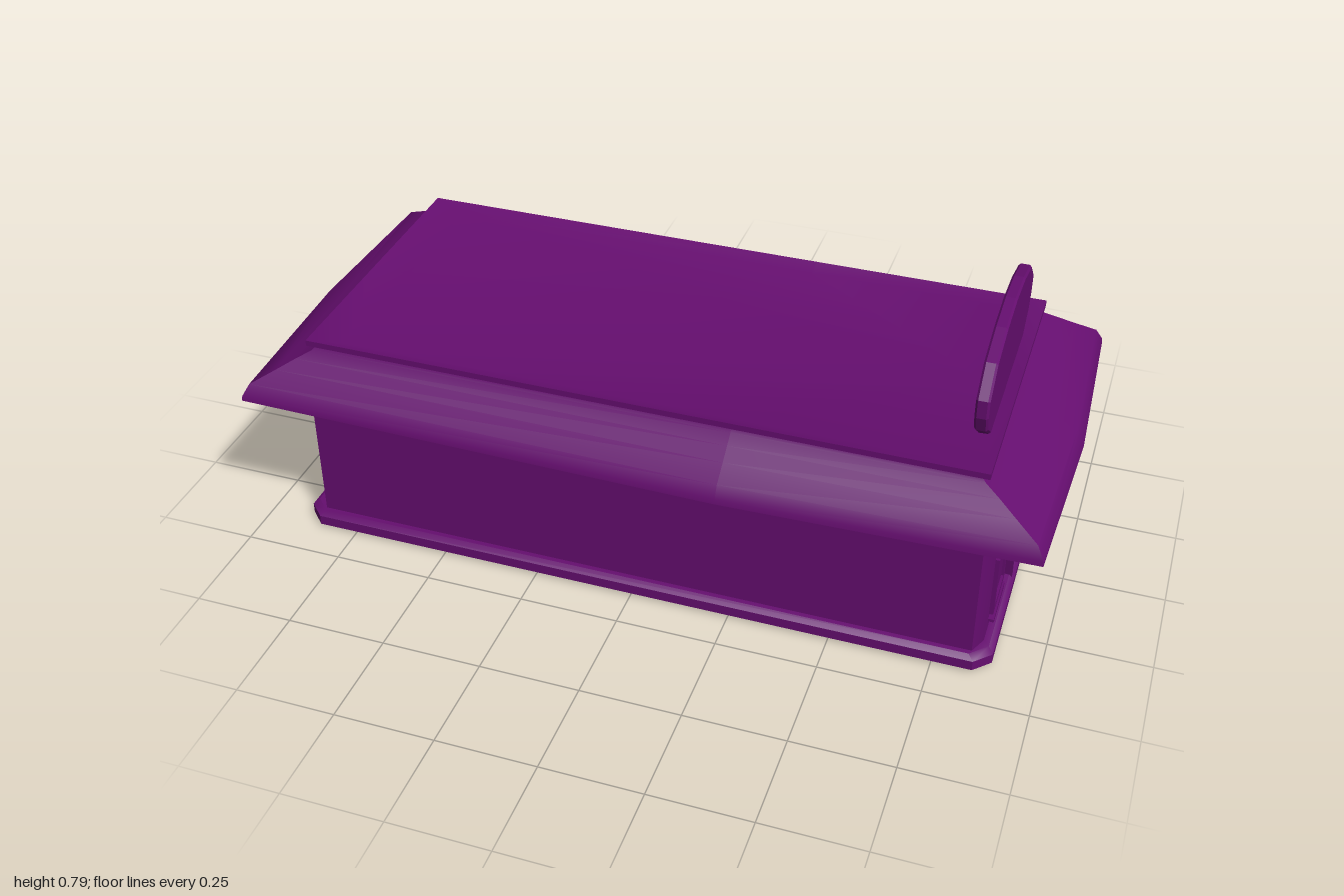
import * as THREE from 'three';
import { toCreasedNormals } from 'three/addons/utils/BufferGeometryUtils.js';

const mat = new THREE.MeshStandardMaterial({ color: 0x660e70, side: THREE.DoubleSide });

function add(parent, name, geo, x = 0, y = 0, z = 0) {
  const m = new THREE.Mesh(geo, mat);
  m.name = name;
  m.position.set(x, y, z);
  parent.add(m);
  return m;
}
const box = (w, h, d) => new THREE.BoxGeometry(w, h, d);

// Skin a stack of equal-length rings (counter-clockwise from above, bottom to top)
function loft(rings, cap = false) {
  const pos = [], n = rings[0].length;
  for (let i = 0; i < rings.length - 1; i++) {
    for (let j = 0; j < n; j++) {
      const k = (j + 1) % n;
      const a = rings[i][j], b = rings[i][k], c = rings[i + 1][k], d = rings[i + 1][j];
      pos.push(...a, ...b, ...c, ...a, ...c, ...d);
    }
  }
  if (cap) {
    const t = rings[rings.length - 1];
    for (let j = 1; j < n - 1; j++) pos.push(...t[0], ...t[j], ...t[j + 1]);
  }
  const g = new THREE.BufferGeometry();
  g.setAttribute('position', new THREE.Float32BufferAttribute(pos, 3));
  return toCreasedNormals(g, 0.6);
}

// Rectangle with cut corners
const cutRing = (y, x, z, cx, cz) => [
  [x, y, z - cz], [x, y, -z + cz], [x - cx, y, -z], [-x + cx, y, -z],
  [-x, y, -z + cz], [-x, y, z - cz], [-x + cx, y, z], [x - cx, y, z]];

// Rectangle with sides bowed outwards by b
const bowRing = ([y, x, z, b]) => [
  [x + b, y, 0], [x, y, -z], [0.24, y, -z - b], [-x, y, -z],
  [-x - b, y, 0], [-x, y, z], [0.24, y, z + b], [x, y, z]];

const poly = (pts) => new THREE.Shape(pts.map(([x, y]) => new THREE.Vector2(x, y)));
const slab = (shape, depth, bevel = 0) => new THREE.ExtrudeGeometry(shape, {
  depth, bevelEnabled: bevel > 0, bevelThickness: bevel, bevelSize: bevel, bevelOffset: -bevel, bevelSegments: 1 });
const rectPts = (w, y0, y1) => [[-w / 2, y0], [w / 2, y0], [w / 2, y1], [-w / 2, y1]];

// Framed panel, facing local +z
function framed(parent, name, x, w, y0, y1, t) {
  const g = new THREE.Group();
  g.name = name;
  g.position.x = x;
  parent.add(g);
  const s = poly(rectPts(w, y0, y1));
  s.holes.push(new THREE.Path(poly(rectPts(w - 2 * t, y0 + t, y1 - t)).getPoints().reverse()));
  add(g, 'frame', slab(s, 0.012));
  add(g, 'pane', box(w - 2 * t, y1 - y0 - 2 * t, 0.008), 0, (y0 + y1) / 2, 0.002);
  return g;
}

// Wall lantern on a bracket
function lantern(parent, x) {
  const g = new THREE.Group();
  g.name = 'lantern';
  g.position.x = x;
  parent.add(g);
  const plate = [[-0.03, 0.285], [0.03, 0.285], [0.02, 0.3], [0.02, 0.35], [0, 0.36], [-0.02, 0.35], [-0.02, 0.3]];
  add(g, 'lanternPlate', slab(poly(plate), 0.01));
  add(g, 'lanternArm', box(0.014, 0.014, 0.05), 0, 0.317, 0.027);
  const prof = [[0, 0.285], [0.008, 0.292], [0.012, 0.303], [0.024, 0.318], [0.027, 0.337],
    [0.02, 0.36], [0.008, 0.371], [0.005, 0.38], [0, 0.388]].map(([r, y]) => new THREE.Vector2(r, y));
  add(g, 'lanternBody', toCreasedNormals(new THREE.LatheGeometry(prof, 8), 0.5), 0, 0, 0.052);
}

// Window with a hipped canopy on two brackets
function canopyWindow(parent, x) {
  const g = framed(parent, 'canopyWindow', x, 0.2, 0.115, 0.275, 0.016);
  add(g, 'sill', box(0.22, 0.016, 0.018), 0, 0.1, 0.007);
  const ring = (y, w, d) => [[w, y, 0], [-w, y, 0], [-w, y, d * 0.5], [-w + 0.025, y, d], [w - 0.025, y, d], [w, y, d * 0.5]];
  add(g, 'canopy', loft([ring(0.29, 0.1, 0.01), ring(0.29, 0.145, 0.038), ring(0.305, 0.145, 0.038),
    ring(0.335, 0.132, 0.033), ring(0.36, 0.11, 0.02)], true));
  for (const s of [-1, 1]) {
    const strut = add(g, 'canopyBracket', slab(poly([[0, 0.22], [0.01, 0.22], [0.028, 0.295], [0, 0.295]]), 0.014), s * 0.118 - 0.007);
    strut.rotation.y = -Math.PI / 2;
    strut.position.x += 0.014;
  }
}

export function createModel() {
  const root = new THREE.Group();
  root.name = 'building';

  // Plinth, walls and roof
  const plinth = [[0, 0.875, 0.39], [0.008, 0.888, 0.403], [0.034, 0.888, 0.403], [0.045, 0.875, 0.39], [0.045, 0.855, 0.37]];
  add(root, 'plinth', loft([cutRing(0, 0.855, 0.375, 0.03, 0.03),
    ...plinth.map(([y, x, z]) => cutRing(y, x, z, 0.04, 0.04))]));
  add(root, 'walls', loft([0, 0.413].map((y) => cutRing(y, 0.86, 0.378, 0.02, 0.045))));
  const roof = [[0.412, 0.84, 0.36, 0], [0.41, 0.98, 0.467, 0.02], [0.423, 0.978, 0.465, 0.02], [0.453, 0.962, 0.452, 0.018],
    [0.485, 0.905, 0.417, 0.01], [0.51, 0.862, 0.391, 0.004], [0.53, 0.825, 0.37, 0], [0.54, 0.816, 0.365, 0],
    [0.545, 0.835, 0.377, 0], [0.56, 0.835, 0.377, 0], [0.546, 0.745, 0.338, 0]];
  add(root, 'roof', loft(roof.map(bowRing), true));

  // Rooftop sign board
  const half = [[0.21, 0.545], [0.222, 0.558], [0.271, 0.597], [0.287, 0.64], [0.287, 0.687], [0.222, 0.747], [0.115, 0.775]];
  const outline = [...half, [0, 0.785], ...half.map(([z, y]) => [-z, y]).reverse()];
  const sign = add(root, 'signBoard', slab(poly(outline), 0.022, 0.005), 0.778, 0, 0.004);
  sign.rotation.y = Math.PI / 2;

  // Entrance end
  const end = new THREE.Group();
  end.name = 'entranceEnd';
  end.position.x = 0.858;
  end.rotation.y = Math.PI / 2;
  root.add(end);
  for (const s of [-1, 1]) {
    const w = framed(end, 'window', s * 0.223, 0.145, 0.095, 0.26, 0.016);
    const sill = [[-0.062, 0.064], [0.062, 0.064], [0.073, 0.072], [0.073, 0.08], [-0.073, 0.08], [-0.073, 0.072]];
    add(w, 'sill', slab(poly(sill), 0.015));
    lantern(end, s * 0.225);
    const leaf = [[0.008, 0], [0.062, 0], [0.086, 0.245], [0.008, 0.245]].map(([x, y]) => [s * x, y]);
    add(end, 'doorLeaf', slab(poly(leaf), 0.018));
    add(end, 'doorHandle', box(0.054, 0.007, 0.008), s * 0.042, 0.116, 0.022);
  }
  const doorFrame = poly([[-0.075, 0], [-0.065, 0], [-0.09, 0.248], [0.09, 0.248], [0.065, 0], [0.075, 0], [0.108, 0.27], [-0.108, 0.27]]);
  add(end, 'doorFrame', slab(doorFrame, 0.024));
  add(end, 'doorBacking', box(0.14, 0.245, 0.028), 0, 0.1225, 0);
  const arch = (k) => [[-0.095, 0.275], [0.095, 0.275], [0.106, 0.285], [0.1, 0.31], [0.072, 0.337], [0.03, 0.35],
    [-0.03, 0.35], [-0.072, 0.337], [-0.1, 0.31], [-0.106, 0.285]].map(([x, y]) => [x * k, 0.31 + (y - 0.31) * k]);
  const fan = poly(arch(1));
  fan.holes.push(new THREE.Path(poly(arch(0.88)).getPoints().reverse()));
  add(end, 'fanlightFrame', slab(fan, 0.02));
  add(end, 'fanlightPane', slab(poly(arch(0.9)), 0.013));

  // Decorated long side
  const side = new THREE.Group();
  side.name = 'longSide';
  side.position.z = -0.378;
  side.rotation.y = Math.PI;
  root.add(side);
  for (const x of [0.765, -0.4]) framed(side, 'wallPanel', -x, 0.085, 0.1, 0.285, 0.016);
  for (const x of [0.43, -0.035]) canopyWindow(side, -x);
  for (const x of [0.665, 0.205, -0.245]) lantern(side, -x);

  return root;
}
